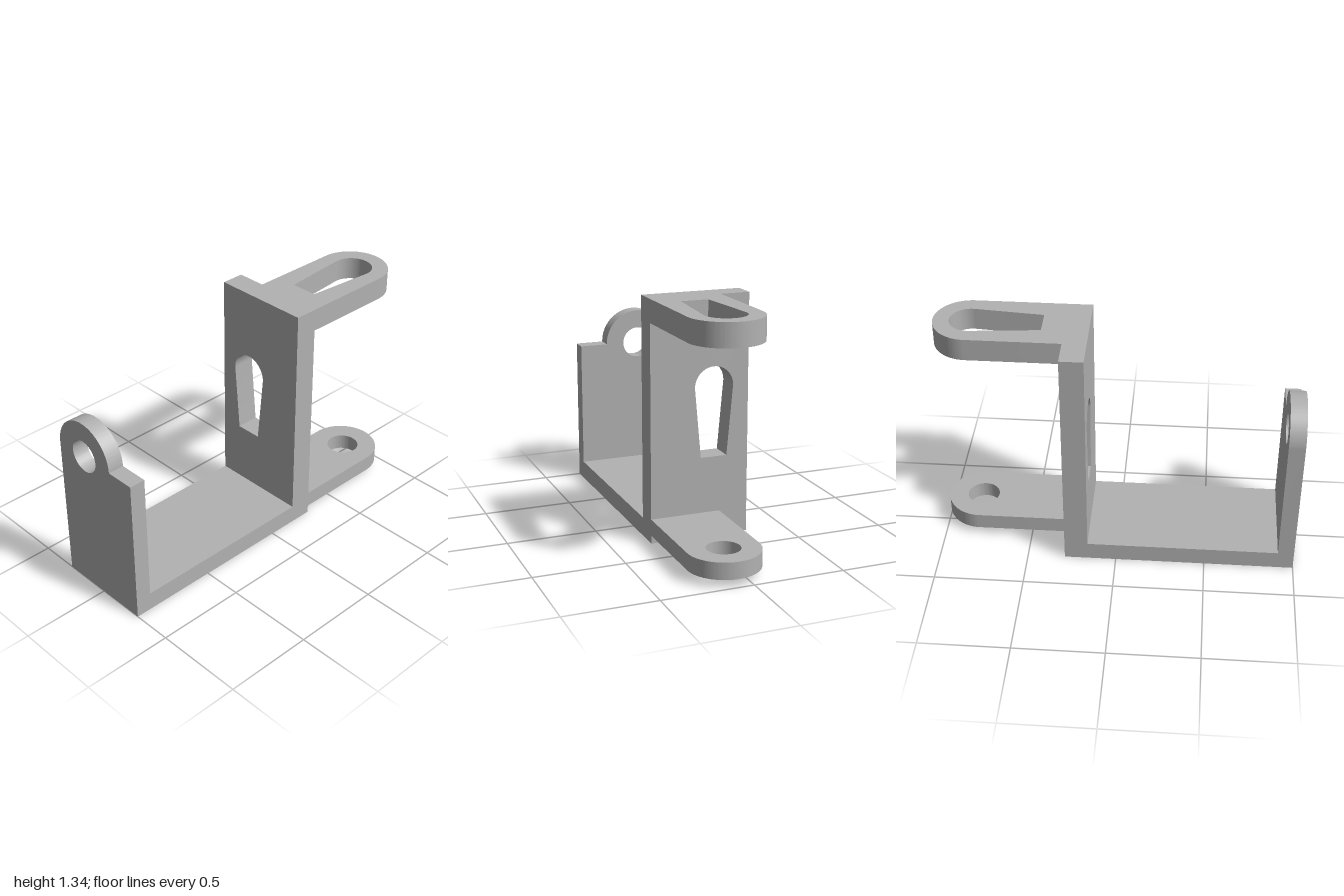
import * as THREE from 'three';
import { toCreasedNormals } from 'three/addons/utils/BufferGeometryUtils.js';

const DEPTH = 0.28;      // half depth of the bracket
const LUG_R = 0.198;     // radius of the rounded ends
const ARM_Z = 0.082;     // centre line of the arms
const HOLE_Z = -0.082;   // centre line of the holes in the uprights
const HOLE_Y = 0.84;

const steel = new THREE.MeshStandardMaterial({ color: 0xb2b2b2 });
steel.name = 'grey steel';

function roundHole(x, y) {
  return new THREE.Path().absarc(x, y, 0.091, 0, Math.PI * 2, true);
}

// Tapered slot: a round end at (x, y) narrowing along direction angle `dir`
function keyhole(x, y, dir) {
  const r = 0.11, len = 0.39, half = 0.075, tilt = 0.09;
  const c = Math.cos(dir), s = Math.sin(dir);
  const at = (u, v) => [x + u * c - v * s, y + u * s + v * c];
  const path = new THREE.Path();
  path.moveTo(...at(len, -half));
  path.lineTo(...at(len, half));
  path.absarc(x, y, r, dir + Math.PI / 2 - tilt, dir - Math.PI / 2 + tilt + Math.PI * 2, false);
  path.closePath();
  return path;
}

function extrude(shape, depth) {
  return new THREE.ExtrudeGeometry(shape, { depth, bevelEnabled: false, curveSegments: 40 });
}

// Upright plate: outline drawn in (z, y), thickness running from x0 to x1
function uprightGeometry(shape, x0, x1) {
  return extrude(shape, x1 - x0).rotateY(-Math.PI / 2).translate(x1, 0, 0);
}

// Flat arm with a rounded tip: outline drawn in (x, -z), from y0 to y1
function armGeometry(hole, y0, y1) {
  const shape = new THREE.Shape();
  shape.moveTo(0.29, -ARM_Z - LUG_R);
  shape.lineTo(0.802, -ARM_Z - LUG_R);
  shape.absarc(0.802, -ARM_Z, LUG_R, -Math.PI / 2, Math.PI / 2, false);
  shape.lineTo(0.29, -ARM_Z + LUG_R);
  shape.closePath();
  shape.holes.push(hole);
  return extrude(shape, y1 - y0).rotateX(-Math.PI / 2).translate(0, y0, 0);
}

export function createModel() {
  const group = new THREE.Group();
  group.name = 'bracket';
  const add = (name, geometry) => {
    const mesh = new THREE.Mesh(toCreasedNormals(geometry, 0.5), steel);
    mesh.name = name;
    group.add(mesh);
  };

  // Floor between the two uprights
  add('base', new THREE.BoxGeometry(1.07, 0.105, DEPTH * 2).translate(-0.375, 0.0525, 0));

  // Short upright with a rounded lug and a square shoulder
  const lug = new THREE.Shape();
  lug.moveTo(-DEPTH, 0);
  lug.lineTo(DEPTH, 0);
  lug.lineTo(DEPTH, HOLE_Y);
  lug.lineTo(HOLE_Z + LUG_R, HOLE_Y);
  lug.absarc(HOLE_Z, HOLE_Y, LUG_R, 0, Math.PI, false);
  lug.closePath();
  lug.holes.push(roundHole(HOLE_Z, HOLE_Y));
  add('shortUpright', uprightGeometry(lug, -1, -0.91));

  // Tall upright with a tapered slot
  const wall = new THREE.Shape();
  wall.moveTo(-DEPTH, 0);
  wall.lineTo(DEPTH, 0);
  wall.lineTo(DEPTH, 1.336);
  wall.lineTo(-DEPTH, 1.336);
  wall.closePath();
  wall.holes.push(keyhole(HOLE_Z, HOLE_Y, -Math.PI / 2));
  add('tallUpright', uprightGeometry(wall, 0.16, 0.29));

  // Arms: slotted above, round hole below
  add('upperArm', armGeometry(keyhole(0.802, -ARM_Z, Math.PI), 1.21, 1.336));
  add('lowerArm', armGeometry(roundHole(0.802, -ARM_Z), 0.045, 0.137));

  return group;
}
